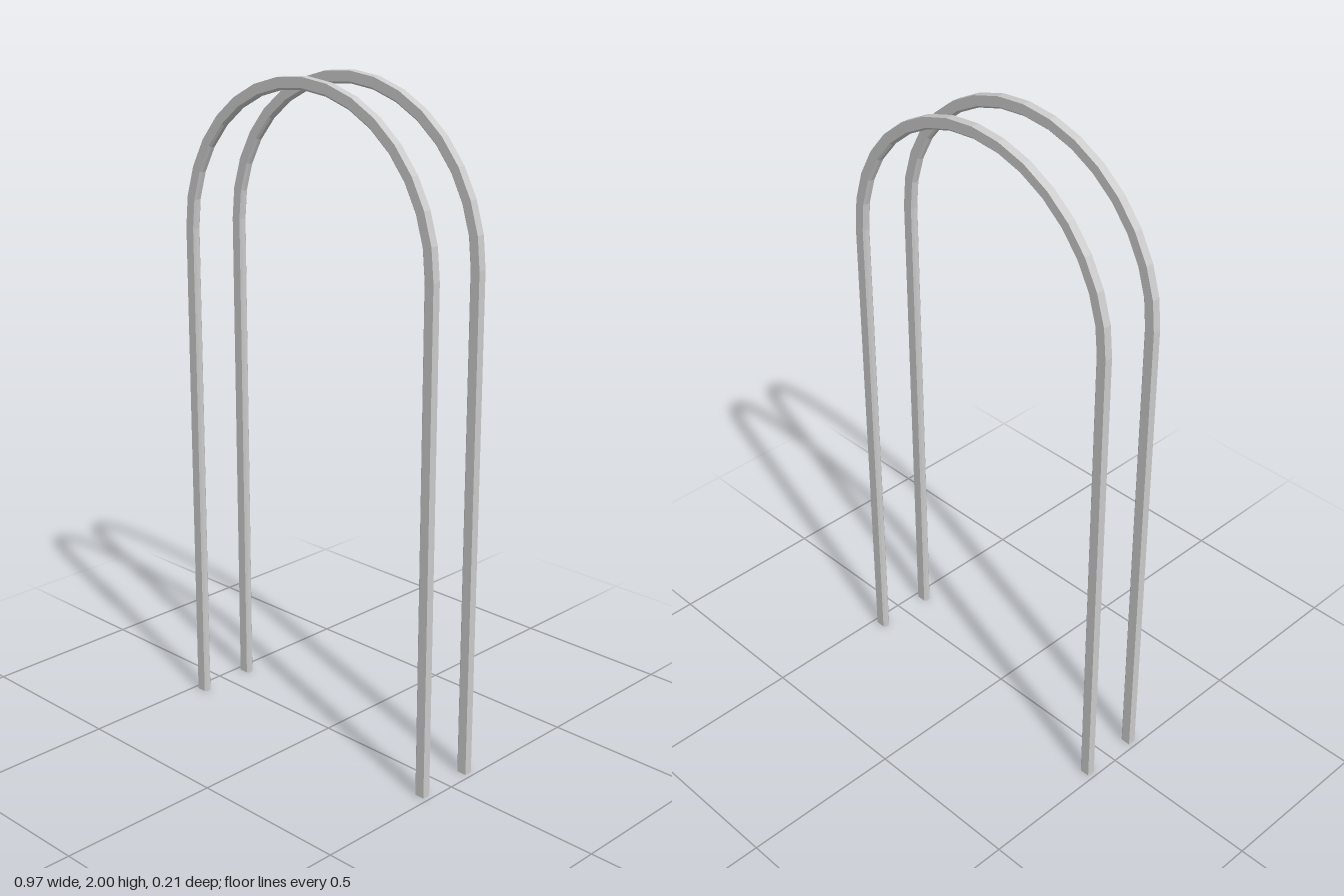
import * as THREE from 'three';

const OUTER = 0.485, INNER = 0.449, SPRING = 2 - OUTER, HALF = 0.0125, CHAMFER = 0.006, SEGMENTS = 16;

// Bar section as [distance from the arch axis, depth], with the inner corners chamfered
const section = [
  [OUTER, -HALF], [OUTER, HALF],
  [INNER + CHAMFER, HALF], [INNER, HALF - CHAMFER],
  [INNER, -HALF + CHAMFER], [INNER + CHAMFER, -HALF],
];

// Sweeps the section up one leg, round the arch and down the other leg
function hoopGeometry() {
  const stations = [{ a: 0, y: 0 }];
  for (let i = 0; i <= SEGMENTS; i++) stations.push({ a: Math.PI * i / SEGMENTS, y: SPRING });
  stations.push({ a: Math.PI, y: 0 });

  const positions = [], index = [], n = section.length;
  for (const { a, y } of stations) {
    for (const [r, z] of section) positions.push(r * Math.cos(a), y + r * Math.sin(a), z);
  }
  for (let s = 0; s < stations.length - 1; s++) {
    for (let k = 0; k < n; k++) {
      const p = s * n + k, q = s * n + (k + 1) % n;
      index.push(p, p + n, q, q, p + n, q + n);
    }
  }
  // Feet
  const last = (stations.length - 1) * n;
  for (let k = 1; k < n - 1; k++) {
    index.push(0, k, k + 1);
    index.push(last, last + k + 1, last + k);
  }
  const geometry = new THREE.BufferGeometry();
  geometry.setAttribute('position', new THREE.Float32BufferAttribute(positions, 3));
  geometry.setIndex(index);
  const flat = geometry.toNonIndexed();
  flat.computeVertexNormals();
  return flat;
}

export function createModel() {
  const group = new THREE.Group();
  group.name = 'archFrame';
  const material = new THREE.MeshStandardMaterial({ color: 0xcccccc, flatShading: true });
  const geometry = hoopGeometry();

  // Matching front and back hoops
  for (const [name, z] of [['frontHoop', 0.0925], ['backHoop', -0.0925]]) {
    const hoop = new THREE.Mesh(geometry, material);
    hoop.name = name;
    hoop.position.z = z;
    group.add(hoop);
  }
  return group;
}
